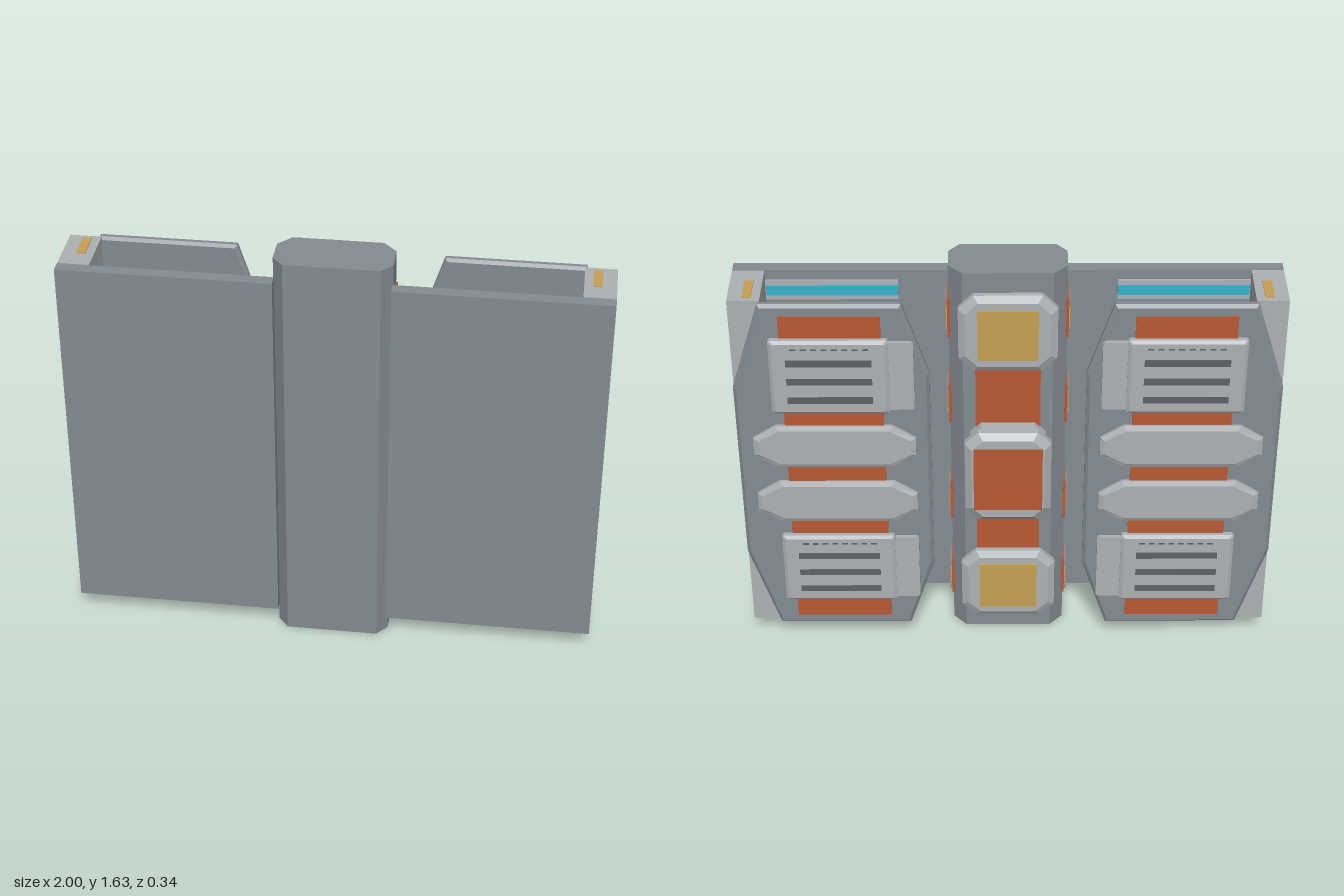
import * as THREE from 'three';

const mat = (name, color, opts = {}) => {
  const m = new THREE.MeshStandardMaterial({ color, ...opts });
  m.name = name;
  return m;
};

// Convex outline lofted along z; layers are [z, inset] from front to back
function loft(points, layers) {
  const pts = points.map(([x, y]) => new THREE.Vector2(x, y));
  if (THREE.ShapeUtils.area(pts) < 0) pts.reverse();
  const box = new THREE.Box2().setFromPoints(pts);
  const c = box.getCenter(new THREE.Vector2());
  const size = box.getSize(new THREE.Vector2());
  const loops = layers.map(([z, inset]) => pts.map((p) => [
    c.x + (p.x - c.x) * (1 - 2 * inset / size.x),
    c.y + (p.y - c.y) * (1 - 2 * inset / size.y), z]));
  const n = pts.length;
  const pos = [];
  const tri = (a, b, d) => pos.push(...a, ...b, ...d);
  for (let k = 0; k + 1 < loops.length; k++) {
    const a = loops[k], b = loops[k + 1];
    for (let i = 0; i < n; i++) {
      const j = (i + 1) % n;
      tri(b[i], b[j], a[j]);
      tri(b[i], a[j], a[i]);
    }
  }
  const first = loops[0], last = loops[loops.length - 1];
  for (let i = 1; i + 1 < n; i++) {
    tri(first[0], first[i], first[i + 1]);
    tri(last[0], last[i + 1], last[i]);
  }
  const g = new THREE.BufferGeometry();
  g.setAttribute('position', new THREE.Float32BufferAttribute(pos, 3));
  g.computeVertexNormals();
  return g;
}

// Rectangle with cut corners
const octagon = (cx, cy, hw, hh, cut, cutY = cut) => [
  [cx - hw + cut, cy - hh], [cx + hw - cut, cy - hh], [cx + hw, cy - hh + cutY], [cx + hw, cy + hh - cutY],
  [cx + hw - cut, cy + hh], [cx - hw + cut, cy + hh], [cx - hw, cy + hh - cutY], [cx - hw, cy - hh + cutY]];

export function createModel() {
  const root = new THREE.Group();
  root.name = 'panelModule';
  const frame = mat('frameGrey', 0x838b92);
  const light = mat('lightGrey', 0xadb1b3);
  const dark = mat('slotGrey', 0x5c6267);
  const orange = mat('orange', 0xb85a34);
  const gold = mat('gold', 0xc8a052);
  const cyan = mat('cyan', 0x35b4cc);

  const add = (parent, name, geometry, material) => {
    const mesh = new THREE.Mesh(geometry, material);
    mesh.name = name;
    parent.add(mesh);
    return mesh;
  };
  // Box given by its limits on each axis
  const box = (parent, name, material, x0, x1, y0, y1, z0, z1) => {
    const g = new THREE.BoxGeometry(Math.abs(x1 - x0), y1 - y0, z1 - z0);
    g.translate((x0 + x1) / 2, (y0 + y1) / 2, (z0 + z1) / 2);
    return add(parent, name, g, material);
  };

  const MID = 0.82, LOW = 0.085, HIGH = 1.555;

  // Central spine
  const spine = new THREE.Group();
  spine.name = 'spine';
  root.add(spine);
  const section = [[-0.175, -0.168], [0.175, -0.168], [0.215, -0.12], [0.215, -0.02],
    [0.165, 0.035], [-0.165, 0.035], [-0.215, -0.02], [-0.215, -0.12]];
  add(spine, 'spineColumn', loft(section, [[1.635, 0], [0, 0]]).rotateX(-Math.PI / 2), frame);
  box(spine, 'spineStripe', orange, -0.12, 0.12, 0.25, 1.39, -0.04, -0.034);

  // End blocks with gold plates
  for (const y of [1.4, 0.24]) {
    add(spine, 'endBlock', loft(octagon(0, y, 0.18, 0.16, 0.055),
      [[-0.035, 0.012], [-0.045, 0], [-0.065, 0], [-0.08, 0.025]]), light);
    box(spine, 'endBlockPlate', gold, -0.11, 0.11, y - 0.105, y + 0.105, -0.085, -0.079);
  }

  // Middle block on a pedestal
  add(spine, 'pedestal', loft(octagon(0, MID, 0.14, 0.17, 0.04), [[-0.035, 0], [-0.112, 0]]), light);
  add(spine, 'middleBlock', loft(octagon(0, MID, 0.16, 0.2, 0.05),
    [[-0.11, 0.02], [-0.122, 0], [-0.148, 0], [-0.168, 0.025]]), light);
  box(spine, 'middleBlockPlate', orange, -0.128, 0.128, MID - 0.14, MID + 0.14, -0.172, -0.167);

  for (const s of [1, -1]) {
    const wing = new THREE.Group();
    wing.name = s > 0 ? 'leftWing' : 'rightWing';
    root.add(wing);
    const wbox = (name, m, x0, x1, ...rest) => box(wing, name, m, s * x0, s * x1, ...rest);
    const wloft = (name, m, pts, layers) =>
      add(wing, name, loft(pts.map(([x, y]) => [s * x, y]), layers), m);

    // Front panel and outer wall
    wbox('frontPanel', frame, 0.212, 1, LOW, HIGH, 0.12, 0.168);
    wbox('outerWall', light, 0.883, 1, LOW, HIGH, -0.092, 0.116);
    wbox('wallCoreSeam', dark, 0.9, 0.98, LOW + 0.02, HIGH - 0.02, 0.11, 0.121);
    for (const [y0, y1] of [[HIGH - 0.002, HIGH + 0.004], [LOW - 0.004, LOW + 0.002]])
      wbox('wallInsert', gold, 0.915, 0.948, y0, y1, -0.07, 0.04);

    // Back cover with cut corners
    wloft('backCover', frame, [[0.38, HIGH], [0.89, HIGH], [1, 1.2], [1, 0.44],
      [0.89, LOW], [0.38, LOW], [0.285, 0.38], [0.285, 1.26]],
    [[-0.088, 0.012], [-0.097, 0], [-0.112, 0], [-0.123, 0.012]]);
    wbox('coverStripe', orange, 0.455, 0.82, 0.13, 1.51, -0.128, -0.122);

    // Louvred blocks
    for (const y of [1.262, 0.378]) {
      wloft('louverBase', light, octagon(0.4, y, 0.06, 0.145, 0.008), [[-0.122, 0], [-0.138, 0]]);
      wloft('louverBlock', light, octagon(0.645, y, 0.215, 0.158, 0.006),
        [[-0.122, 0], [-0.142, 0], [-0.15, 0.012]]);
      for (const dy of [0.065, -0.015, -0.095])
        wbox('louverSlot', dark, 0.49, 0.8, y + dy - 0.014, y + dy + 0.014, -0.152, -0.149);
      for (let i = 0; i < 8; i++)
        wbox('ventDash', dark, 0.5 + i * 0.037, 0.522 + i * 0.037, y + 0.121, y + 0.127, -0.152, -0.149);
    }

    // Long pads across the middle
    for (const y of [MID + 0.127, MID - 0.127])
      wloft('longPad', light, octagon(0.64, y, 0.3, 0.093, 0.085, 0.055),
        [[-0.122, 0], [-0.134, 0], [-0.142, 0.018]]);

    // Glowing strips and rails inside the front panel
    for (const y of [1.475, 1.045, 0.59, 0.16]) {
      wbox('stripMount', light, 0.4, 0.883, y - 0.04, y + 0.04, 0.112, 0.121);
      wbox('glowStrip', cyan, 0.4, 0.88, y - 0.02, y + 0.02, 0.107, 0.113);
    }
    for (const y of [1.375, 0.945, 0.69, 0.26])
      wbox('rail', light, 0.4, 0.883, y - 0.016, y + 0.016, 0.105, 0.121);

    // Clips on the sides of the spine
    for (const y of [1.42, 1.045, 0.59, 0.215]) {
      wbox('clipBase', orange, 0.21, 0.221, y - 0.085, y + 0.085, 0.01, 0.118);
      wbox('clipPlate', gold, 0.22, 0.226, y - 0.05, y + 0.05, 0.035, 0.09);
      for (const e of [-1, 1])
        wbox('clipEnd', frame, 0.21, 0.228, y + e * 0.06 - 0.009, y + e * 0.06 + 0.009, 0.015, 0.11);
    }
  }
  return root;
}
